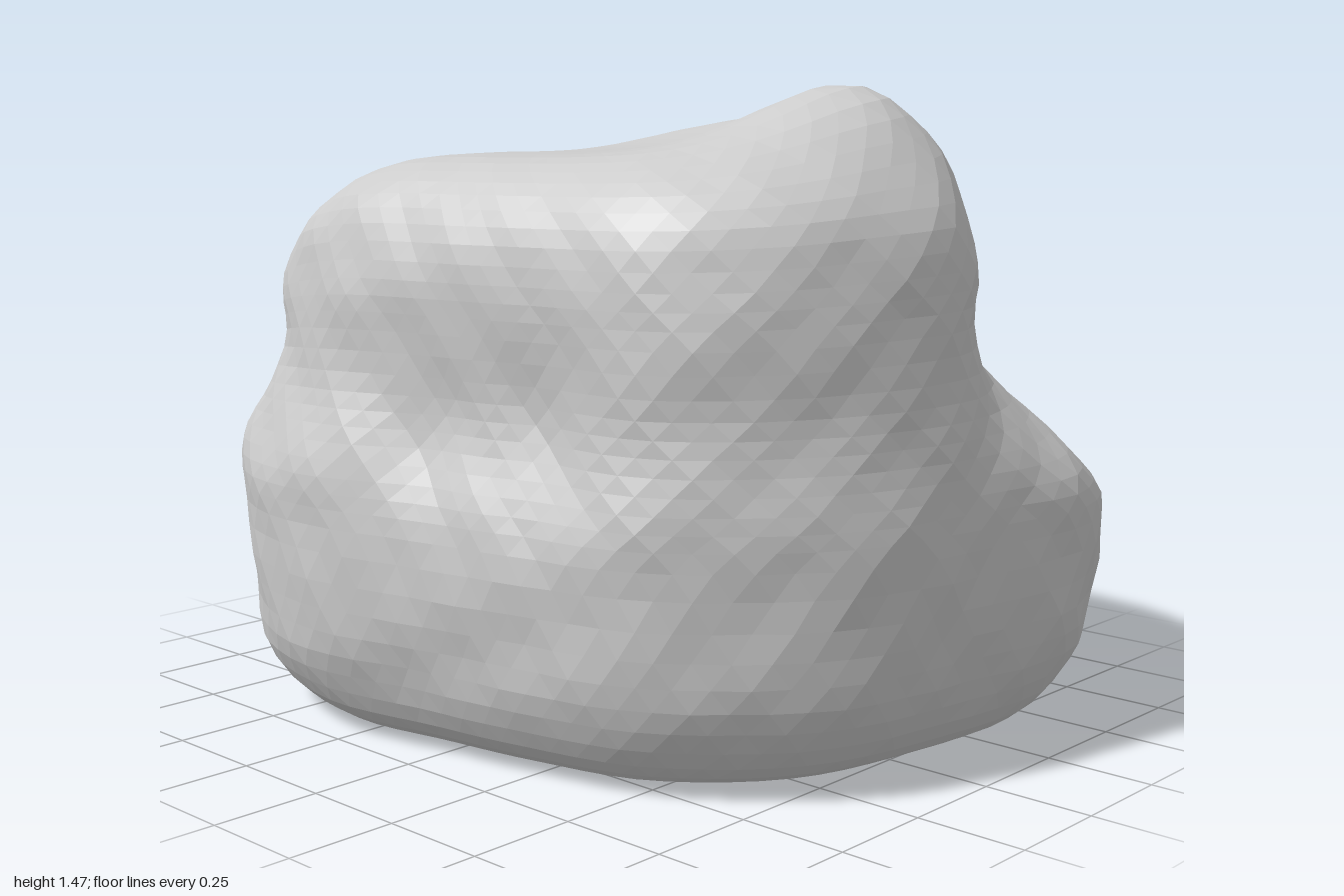
import * as THREE from 'three';

const SEGMENTS = 72, ROWS = 48;

// Closed plan outline from radii at even angles, turning from +x towards +z
function outline(radii) {
  const points = radii.map((r, i) => {
    const a = (i / radii.length) * Math.PI * 2;
    return new THREE.Vector3(r * Math.cos(a), 0, r * Math.sin(a));
  });
  return new THREE.CatmullRomCurve3(points, true, 'catmullrom', 0.5);
}

// Wide foot, and the narrower upper mass that is cut away at its front left
const foot = outline([0.81, 0.86, 1.09, 1.08, 0.98, 0.95, 0.88, 0.78, 0.77, 0.88, 0.98, 1, 1, 0.97, 0.95, 0.85]);
const crown = outline([0.64, 0.64, 0.69, 0.78, 0.95, 0.95, 0.88, 0.73, 0.71, 0.8, 0.87, 0.9, 0.86, 0.86, 0.82, 0.69]);

// Side profile from the underside to the middle of the top: width, share of top height
const profile = new THREE.SplineCurve([
  [0, 0.012], [0.45, 0.01], [0.74, 0.014], [0.87, 0.05], [0.955, 0.14],
  [0.99, 0.25], [1, 0.38], [1, 0.46], [0.99, 0.54], [0.98, 0.62],
  [0.985, 0.72], [0.98, 0.8], [0.945, 0.885], [0.86, 0.95], [0.72, 0.99],
  [0.48, 1], [0.24, 1], [0, 1],
].map((p) => new THREE.Vector2(...p)));

const bump = (d, width) => Math.exp(-(d * d) / (width * width));

// Height of the worn top: front peak, left shoulder, slope to the back
function topHeight(x, z) {
  const back = Math.min(0, z + 0.1);
  return 1.34
    + 0.15 * bump(x + 0.01, 0.3) * bump(z - 0.63, 0.27)
    + 0.095 * bump(x - 0.43, 0.32) * bump(z - 0.16, 0.45)
    - 0.3 * back * back;
}

// Hollows pressed into the sides: x, y, z, size, depth
const hollows = [
  [-0.7, 0.76, 0.35, 0.16, 0.06], [-0.74, 0.73, 0.05, 0.15, 0.06],
  [0.3, 1.0, 0.65, 0.2, 0.03], [0.15, 0.93, -0.86, 0.16, 0.06],
  [0.5, 0.63, -0.78, 0.18, 0.04], [-0.68, 0.4, -0.68, 0.16, 0.03],
];

function rockPoint(u, v) {
  const row = profile.getPoint(v);
  // The shoulder between foot and crown is a long, low slope at the front left
  const corner = bump(u - 0.1, 0.055);
  const blend = THREE.MathUtils.smoothstep(row.y * 1.36, 0.57 - 0.2 * corner, 1 + 0.05 * corner);
  const p = foot.getPoint(u).lerp(crown.getPoint(u), blend);
  p.multiplyScalar(Math.max(0, row.x));
  p.y = row.y * THREE.MathUtils.lerp(1.36, topHeight(p.x, p.z), THREE.MathUtils.smoothstep(row.y, 0.3, 0.9));
  // Dents and weathering act sideways and fade out at the underside
  let push = 0;
  for (const [x, y, z, size, depth] of hollows) {
    push -= depth * bump(Math.hypot(p.x - x, p.y - y, p.z - z), size);
  }
  push += 0.007 * Math.sin(p.x * 9 + p.y * 7) * Math.sin(p.z * 8 - p.y * 11)
    + 0.005 * Math.sin(p.x * 23 + p.z * 17) * Math.sin(p.y * 25 + p.z * 9);
  push *= THREE.MathUtils.smoothstep(p.y, 0.02, 0.25) * row.x;
  const r = Math.hypot(p.x, p.z) || 1;
  p.x *= 1 + push / r;
  p.z *= 1 + push / r;
  return p;
}

function rockGeometry() {
  const positions = [], index = [];
  for (let j = 0; j <= ROWS; j++) {
    for (let i = 0; i < SEGMENTS; i++) {
      // Stagger alternate rows so the facets look irregular
      positions.push(...rockPoint((i + (j % 2) * 0.5) / SEGMENTS, j / ROWS).toArray());
    }
  }
  for (let j = 0; j < ROWS; j++) {
    for (let i = 0; i < SEGMENTS; i++) {
      const next = (i + 1) % SEGMENTS;
      const a = j * SEGMENTS + i, b = j * SEGMENTS + next;
      const c = a + SEGMENTS, d = b + SEGMENTS;
      const odd = j % 2 === 1;
      if (j > 0) index.push(a, odd ? d : c, b);
      if (j < ROWS - 1) index.push(...(odd ? [a, c, d] : [b, c, d]));
    }
  }
  const geometry = new THREE.BufferGeometry();
  geometry.setAttribute('position', new THREE.Float32BufferAttribute(positions, 3));
  geometry.setIndex(index);
  // Stand on the ground, centred
  geometry.computeBoundingBox();
  const { min, max } = geometry.boundingBox;
  geometry.translate(-(min.x + max.x) / 2, -min.y, -(min.z + max.z) / 2);
  geometry.computeVertexNormals();
  return geometry;
}

export function createModel() {
  const group = new THREE.Group();
  group.name = 'boulder';
  const rock = new THREE.Mesh(
    rockGeometry(),
    new THREE.MeshStandardMaterial({ color: 0xcccccc, flatShading: true }),
  );
  rock.name = 'rock';
  group.add(rock);
  return group;
}
